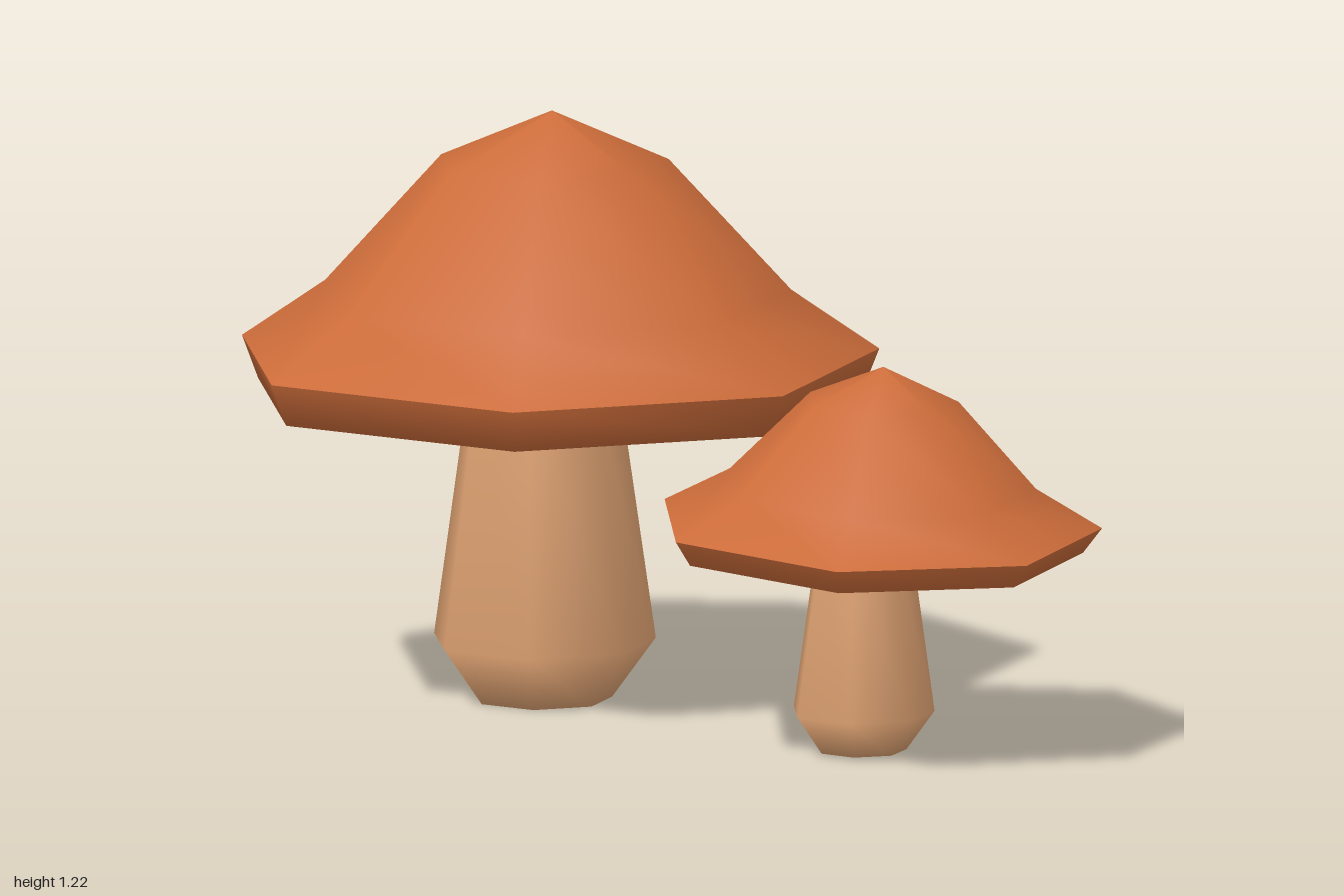
import * as THREE from 'three';

const SIDES = 7;

export function createModel() {
  const model = new THREE.Group();
  model.name = 'mushrooms';

  const capOrange = new THREE.MeshStandardMaterial({ color: 0xcc6c3a });
  capOrange.name = 'cap orange';
  const stemTan = new THREE.MeshStandardMaterial({ color: 0xdda171 });
  stemTan.name = 'stem tan';

  // Seven-sided turned part; lean = [x per y, z per y, y per x, y per z] about baseY
  function turned(name, profile, material, phi, center, lean = [0, 0, 0, 0], baseY = 0) {
    const points = profile.map(([r, y]) => new THREE.Vector2(r, y));
    const geometry = new THREE.LatheGeometry(points, SIDES, THREE.MathUtils.degToRad(phi));
    const p = geometry.attributes.position;
    for (let i = 0; i < p.count; i++) {
      const x = p.getX(i), y = p.getY(i), z = p.getZ(i), d = y - baseY;
      p.setXYZ(i, x + lean[0] * d, y + lean[2] * x + lean[3] * z, z + lean[1] * d);
    }
    const mesh = new THREE.Mesh(geometry, material);
    mesh.name = name;
    mesh.position.set(center[0], 0, center[1]);
    return mesh;
  }

  function mushroom(name, { dome, rim, stem, phi, capCenter, stemCenter, capLean, stemLean }) {
    const group = new THREE.Group();
    group.name = name;
    const rimY = dome[0][1];
    group.add(
      turned('capDome', dome, capOrange, phi, capCenter, capLean, rimY),
      // flat underside and flared rim
      turned('capUnderside', [[0, rim[1]], rim, dome[0]], capOrange, phi, capCenter, capLean, rimY),
      turned('stem', stem, stemTan, phi, stemCenter, stemLean, 0)
    );
    model.add(group);
  }

  mushroom('largeMushroom', {
    dome: [[0.67, 0.71], [0.49, 0.835], [0.239, 1.11], [0, 1.215]],
    rim: [0.635, 0.623],
    stem: [[0, 0], [0.144, 0], [0.233, 0.12], [0.158, 0.64]],
    phi: 84.7,
    capCenter: [-0.367, 0.01],
    stemCenter: [-0.385, 0.02],
  });

  // smaller one, its cap tipped sideways
  mushroom('smallMushroom', {
    dome: [[0.463, 0.473], [0.324, 0.555], [0.157, 0.738], [0, 0.81]],
    rim: [0.427, 0.42],
    stem: [[0, 0.005], [0.092, 0.005], [0.149, 0.085], [0.099, 0.44]],
    phi: 82,
    capCenter: [0.541, 0.067],
    stemCenter: [0.513, 0.077],
    capLean: [0.16, 0.11, -0.05, -0.012],
    stemLean: [0.05, 0.05, 0, 0],
  });

  return model;
}
